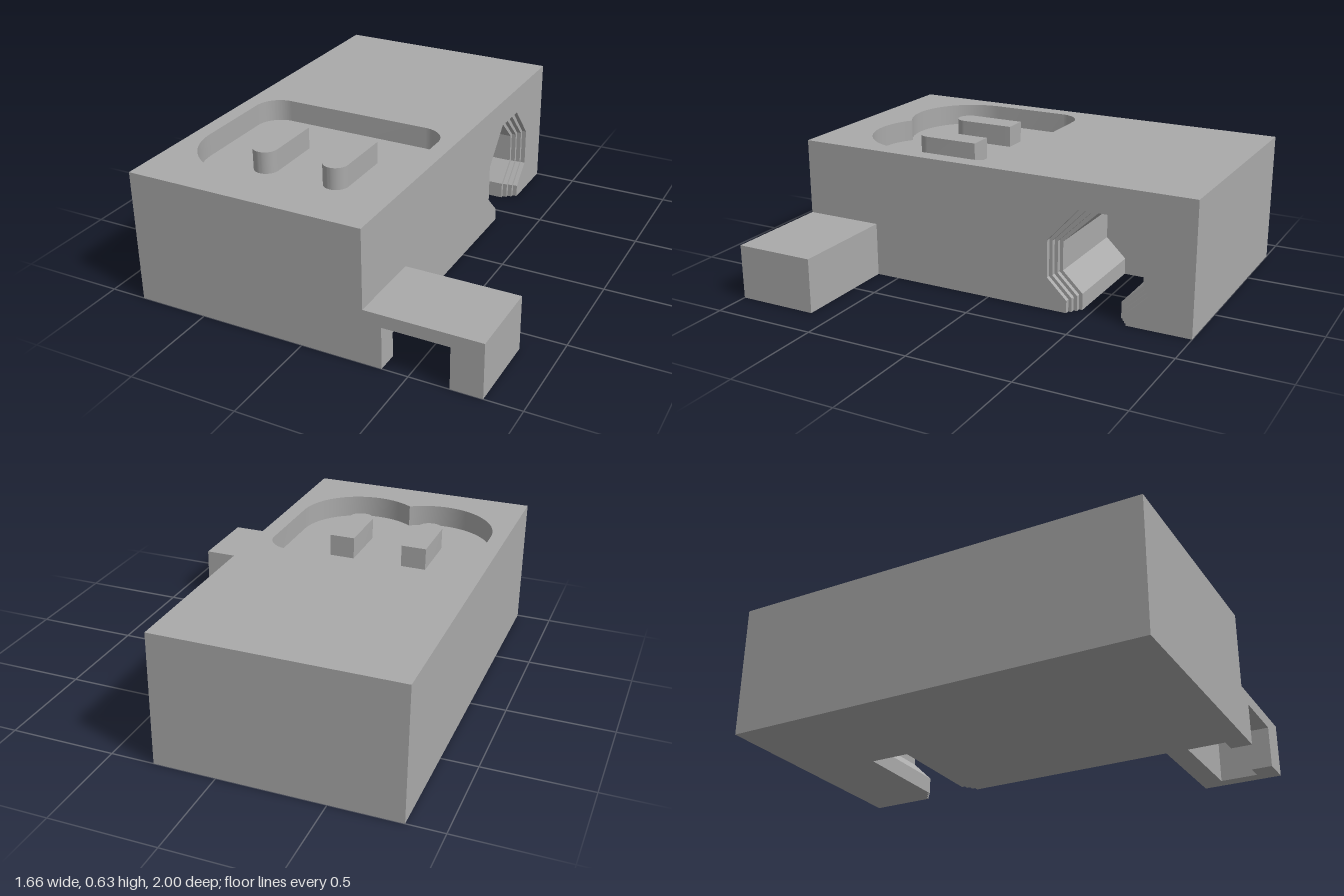
import * as THREE from 'three';
import { toCreasedNormals } from 'three/addons/utils/BufferGeometryUtils.js';

// Each side has its own drawing plane: local +z points out of the model.
const TURN = {
  front: g => g,
  back: g => g.rotateY(Math.PI),
  right: g => g.rotateY(Math.PI / 2),   // drawn in (-z, y)
  left: g => g.rotateY(-Math.PI / 2),   // drawn in (z, y)
  top: g => g.rotateX(-Math.PI / 2),    // drawn in (x, -z)
  bottom: g => g.rotateX(Math.PI / 2),  // drawn in (x, z)
};
const vec = list => list.map(([x, y]) => new THREE.Vector2(x, y));
const rect = (x0, y0, x1, y1) => vec([[x0, y0], [x1, y0], [x1, y1], [x0, y1]]);
const closed = pts => [...pts, pts[0]];

export function createModel() {
  const group = new THREE.Group();
  const grey = new THREE.MeshStandardMaterial({ color: 0xaaaaaa, side: THREE.DoubleSide });
  grey.name = 'grey';

  function add(name, geometry, side) {
    const mesh = new THREE.Mesh(TURN[side](geometry), grey);
    mesh.name = name;
    group.add(mesh);
  }

  // Flat face on one side, at a distance from the centre, with optional holes
  function panel(name, side, offset, pts, holes = []) {
    const shape = new THREE.Shape(pts);
    for (const h of holes) shape.holes.push(new THREE.Path(h));
    add(name, new THREE.ShapeGeometry(shape).translate(0, 0, offset), side);
  }

  // Strip of quads joining outline a at depth za to outline b at depth zb
  function strip(name, side, a, za, b, zb) {
    const pos = [];
    for (let i = 0; i < a.length - 1; i++) {
      const p = [a[i].x, a[i].y, za], q = [a[i + 1].x, a[i + 1].y, za];
      const r = [b[i + 1].x, b[i + 1].y, zb], s = [b[i].x, b[i].y, zb];
      pos.push(...p, ...q, ...r, ...p, ...r, ...s);
    }
    const g = new THREE.BufferGeometry();
    g.setAttribute('position', new THREE.Float32BufferAttribute(pos, 3));
    g.computeVertexNormals();
    add(name, toCreasedNormals(g, 0.6), side);
  }

  const L = -0.83, R = 0.295, H = 0.63, FLOOR = 0.525;  // body
  const TX = 0.83, TY = 0.26, TZ = 0.615, SLOT = 0.2;   // side tab

  // Recess outline with two round lobes at the front
  const cusp = Math.acos(0.18 / 0.305);
  const recess = new THREE.Shape();
  recess.moveTo(0.215, -0.515);
  recess.lineTo(0.215, -0.13);
  recess.absarc(0.095, -0.13, 0.12, 0, Math.PI / 2);
  recess.lineTo(-0.635, -0.01);
  recess.absarc(-0.635, -0.13, 0.12, Math.PI / 2, Math.PI);
  recess.lineTo(-0.755, -0.515);
  recess.absarc(-0.45, -0.515, 0.305, Math.PI, 2 * Math.PI - cusp);
  recess.absarc(-0.09, -0.515, 0.305, Math.PI + cusp, 2 * Math.PI);
  const recessPts = recess.getPoints(20);

  // Raised keys, square behind and round in front
  const keys = [-0.45, -0.09].map(x => {
    const s = new THREE.Shape();
    s.moveTo(x - 0.06, -0.25);
    s.lineTo(x - 0.06, -0.52);
    s.absarc(x, -0.52, 0.06, Math.PI, 2 * Math.PI);
    s.lineTo(x + 0.06, -0.25);
    return s.getPoints(12);
  });

  // Side socket: four octagonal keyhole outlines, each smaller than the last
  const CU = 0.548;
  const socketX = [R, 0.273, 0.251, 0.229, -0.27];
  const slotHalf = i => 0.145 - 0.0165 * i;
  const socket = [0, 1, 2, 3].map(i => {
    const w = 0.243 - 0.016 * i, up = 0.0066 * i;
    const half = [[slotHalf(i), 0], [slotHalf(i), 0.06 + up], [w, 0.155 + up],
      [w, 0.335 - up], [0.094 - 0.031 * i, 0.5]];
    const mirror = half.map(([u, y]) => [-u, y]).reverse();
    return vec([...half, ...mirror].map(([u, y]) => [CU + u, y]));
  });
  socket.forEach((pts, i) => {
    strip('socketWall', 'right', pts, socketX[i], pts, socketX[i + 1]);
    if (i < 3) strip('socketStep', 'right', pts, socketX[i + 1], socket[i + 1], socketX[i + 1]);
  });
  panel('socketEnd', 'right', socketX[4], socket[3]);

  // T-shaped slot under the tab, open to the front
  const tee = vec([[0.38, 1], [0.38, 0.9], [0.3, 0.9], [0.3, 0.72],
    [0.765, 0.72], [0.765, 0.9], [0.685, 0.9], [0.685, 1]]);
  strip('tabSlotWall', 'bottom', tee, 0, tee, -SLOT);
  panel('tabSlotCeiling', 'bottom', -SLOT, tee);

  // Body and tab faces
  panel('bodyTop', 'top', H, rect(L, -1, R, 1), [recessPts]);
  panel('bodyBack', 'back', 1, rect(-R, 0, -L, H));
  panel('bodyLowSide', 'left', -L, rect(-1, 0, 1, H));
  panel('frontFace', 'front', 1, vec([[L, 0], [0.38, 0], [0.38, SLOT], [0.685, SLOT],
    [0.685, 0], [TX, 0], [TX, TY], [R, TY], [R, H], [L, H]]));
  panel('socketSide', 'right', R, [...vec([[1, 0], [1, H], [-1, H], [-1, TY], [-TZ, TY], [-TZ, 0]]),
    ...[...socket[0]].reverse()]);
  panel('tabTop', 'top', TY, rect(R, -1, TX, -TZ));
  panel('tabBack', 'back', -TZ, rect(-TX, 0, -R, TY));
  panel('tabEnd', 'right', TX, rect(-1, 0, -TZ, TY));

  // Underside, cut by the stepped socket and the tab slot
  const far = [], near = [];
  for (let i = 0; i < 4; i++) {
    const s = slotHalf(i);
    far.push([socketX[i], -CU - s], [socketX[i + 1], -CU - s]);
    near.unshift([socketX[i + 1], -CU + s], [socketX[i], -CU + s]);
  }
  panel('underside', 'bottom', 0, [...vec([[L, -1], [R, -1], ...far, ...near, [R, TZ], [TX, TZ], [TX, 1]]),
    ...[...tee].reverse(), ...vec([[L, 1]])]);

  // Recess and keys
  strip('recessWall', 'top', recessPts, H, recessPts, FLOOR);
  panel('recessFloor', 'top', FLOOR, recessPts, keys);
  for (const key of keys) {
    strip('keyWall', 'top', closed(key), FLOOR, closed(key), H);
    panel('keyTop', 'top', H, key);
  }
  return group;
}
